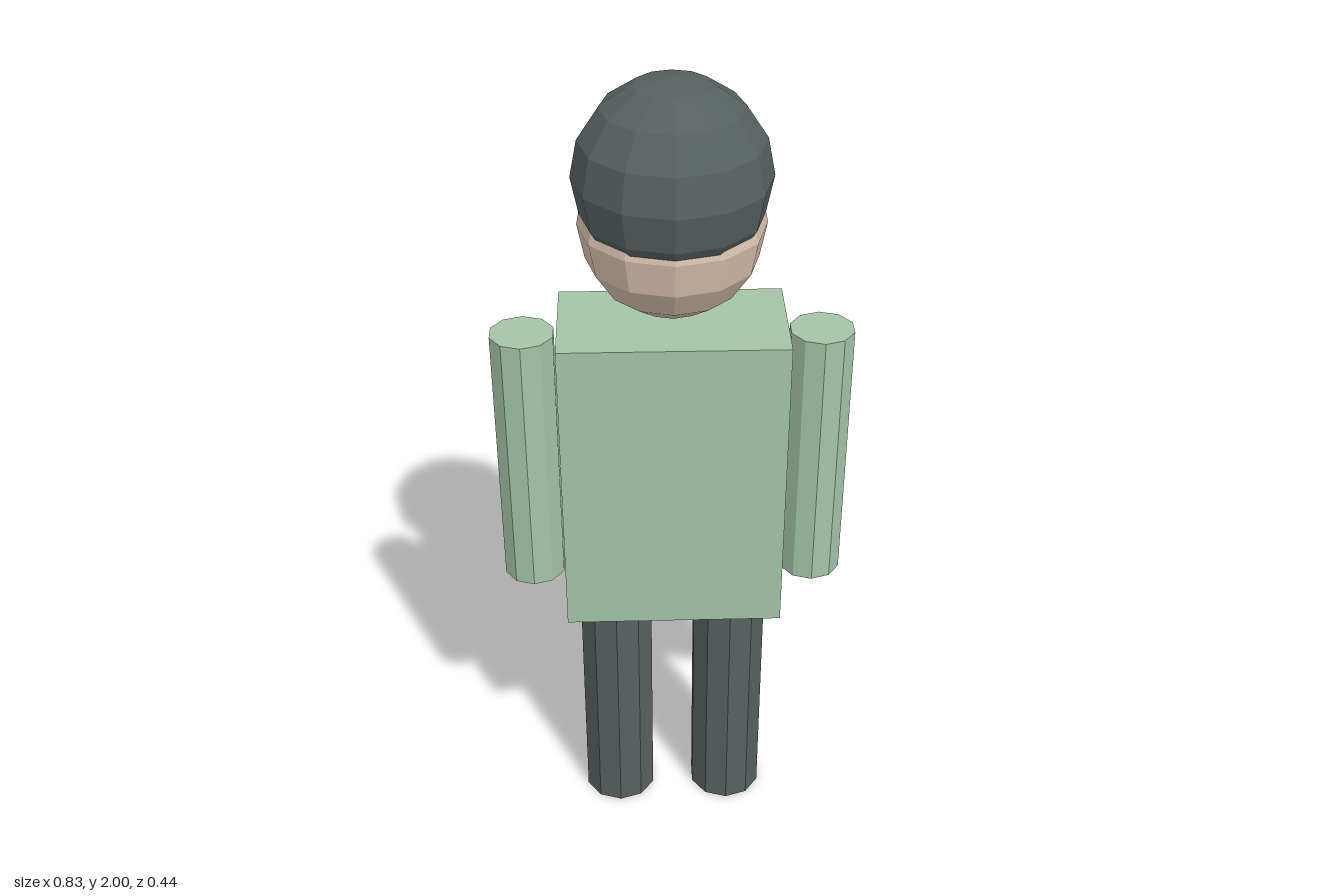
import * as THREE from 'three';

const paint = (name, color) => {
  const m = new THREE.MeshStandardMaterial({ color, flatShading: true });
  m.name = name;
  return m;
};

export function createModel() {
  const model = new THREE.Group();
  model.name = 'figure';

  const shirt = paint('pale green', 0xa3c4a7);
  const pack = paint('deep green', 0x507d67);
  const skin = paint('skin', 0xdac1ae);
  const dark = paint('charcoal', 0x576060);

  const add = (name, geometry, material, x, y, z) => {
    const mesh = new THREE.Mesh(geometry, material);
    mesh.name = name;
    mesh.position.set(x, y, z);
    model.add(mesh);
  };

  // Torso and the flat panel on its back
  add('torso', new THREE.BoxGeometry(0.52, 0.76, 0.284), shirt, 0, 1.045, -0.016);
  add('backPanel', new THREE.BoxGeometry(0.472, 0.585, 0.05), pack, 0, 1.0275, -0.171);

  // Ten-sided limbs, mirrored
  const arm = new THREE.CylinderGeometry(0.0755, 0.0755, 0.665, 10);
  const leg = new THREE.CylinderGeometry(0.093, 0.093, 0.67, 10);
  for (const [side, s] of [['left', 1], ['right', -1]]) {
    add(side + 'Arm', arm, shirt, s * 0.341, 1.066, -0.016);
    add(side + 'Leg', leg, dark, s * 0.142, 0.335, -0.015);
  }

  // Head, with the hair as a larger overlapping ball
  add('head', new THREE.SphereGeometry(0.208, 12, 8), skin, 0, 1.664, -0.016);
  add('hair', new THREE.SphereGeometry(0.218, 12, 8), dark, 0, 1.782, 0.003);

  return model;
}
